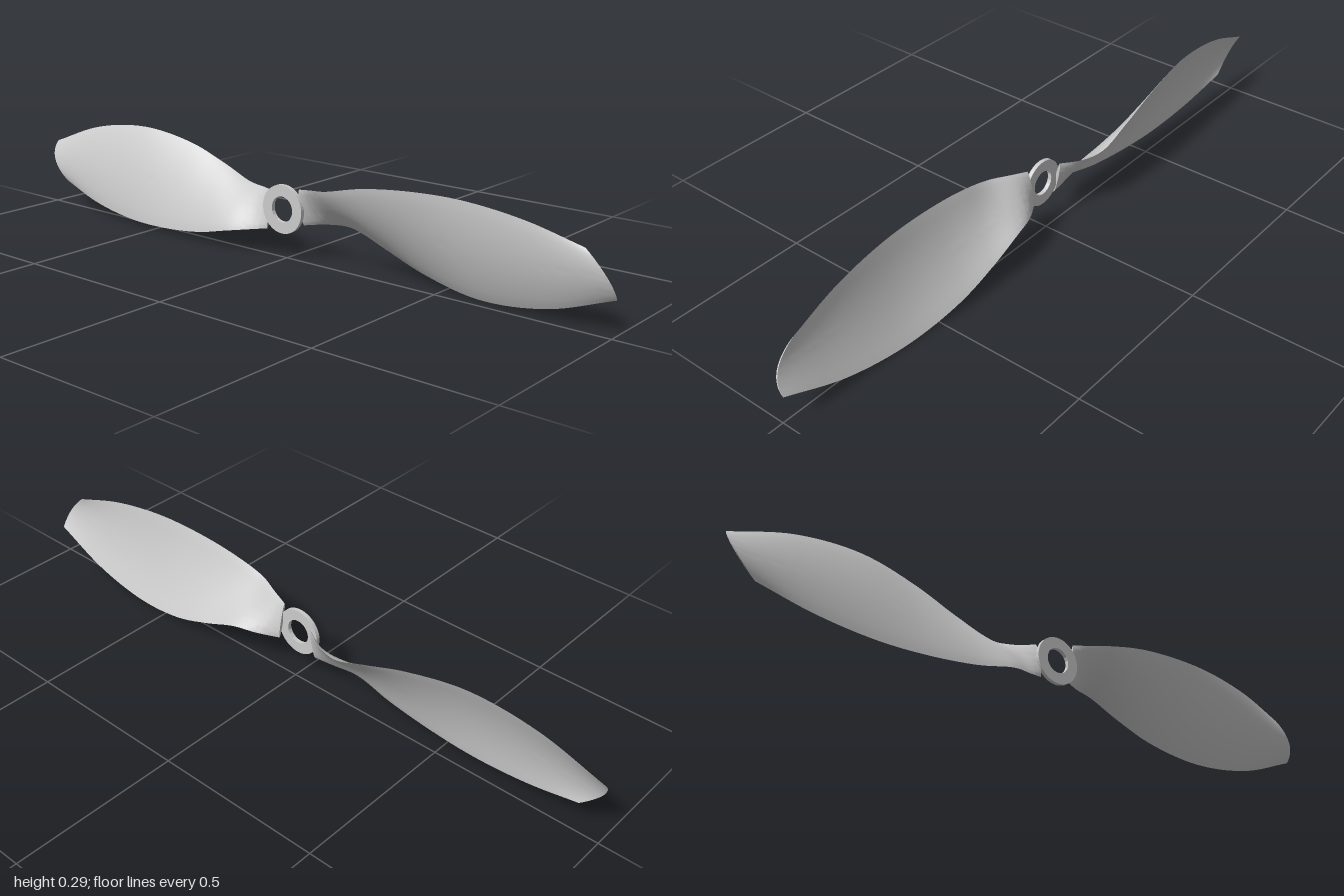
import * as THREE from 'three';
import { toCreasedNormals } from 'three/addons/utils/BufferGeometryUtils.js';

const HUB_Y = 0.148;
const material = new THREE.MeshStandardMaterial({ color: 0xcccccc });

const edgeCurve = (pts) =>
  new THREE.CatmullRomCurve3(pts.map((p) => new THREE.Vector3(...p)), false, 'centripetal');

// Upper (forward) and lower (rearward) edges of one blade, from root to tip
const upperEdge = edgeCurve([
  [0.058, 0.214, 0.018], [0.11, 0.223, 0.034], [0.18, 0.235, 0.056], [0.3, 0.262, 0.054],
  [0.45, 0.278, 0.048], [0.6, 0.279, 0.04], [0.77, 0.257, 0.028], [0.925, 0.215, 0.012],
]);
const lowerEdge = edgeCurve([
  [0.058, 0.107, -0.004], [0.12, 0.113, -0.038], [0.19, 0.111, -0.056], [0.3, 0.071, -0.06],
  [0.43, 0.028, -0.056], [0.61, 0.002, -0.041], [0.81, 0.026, -0.028], [1.0, 0.094, -0.016],
]);

// Thin twisted aerofoil, arched forward: closed loops of points, lofted from root to tip
function bladeGeometry() {
  const stations = 56, chord = 16, ring = chord * 2;
  const position = [], index = [];
  const addRing = (u, thick) => {
    const hi = upperEdge.getPoint(u), lo = lowerEdge.getPoint(u);
    const d = hi.clone().sub(lo);
    const normal = new THREE.Vector3(0, -d.z, d.y).normalize();
    for (let k = 0; k < ring; k++) {
      const front = k <= chord;
      const s = front ? k / chord : 2 - k / chord;
      const arch = 4 * s * (1 - s);
      const half = thick * Math.sqrt(arch);
      const camber = 0.014 * arch * THREE.MathUtils.smoothstep(u, 0.05, 0.4);
      const p = lo.clone().addScaledVector(d, s).addScaledVector(normal, camber + (front ? half : -half));
      p.x += 0.022 * arch * u ** 10; // rounded tip
      position.push(p.x, p.y - HUB_Y, p.z);
    }
  };
  addRing(0, 0); // closes the root
  for (let i = 0; i <= stations; i++) addRing(i / stations, 0.005 - 0.003 * (i / stations));
  addRing(1, 0); // closes the tip
  for (let i = 0; i < stations + 2; i++) {
    for (let k = 0; k < ring; k++) {
      const a = i * ring + k, b = i * ring + ((k + 1) % ring);
      index.push(a, a + ring, b, b, a + ring, b + ring);
    }
  }
  const geometry = new THREE.BufferGeometry();
  geometry.setAttribute('position', new THREE.Float32BufferAttribute(position, 3));
  geometry.setIndex(index);
  return toCreasedNormals(geometry, 0.7);
}

// Flat ring around the shaft hole
function hubGeometry() {
  const shape = new THREE.Shape().absarc(0, 0, 0.07, 0, Math.PI * 2);
  shape.holes.push(new THREE.Path().absarc(0, 0, 0.037, 0, Math.PI * 2, true));
  const geometry = new THREE.ExtrudeGeometry(shape, { depth: 0.012, bevelEnabled: false, curveSegments: 40 });
  geometry.translate(0, 0, 0.01);
  return toCreasedNormals(geometry, 0.6);
}

export function createModel() {
  const propeller = new THREE.Group();
  propeller.name = 'propeller';
  propeller.position.y = HUB_Y;

  const hub = new THREE.Mesh(hubGeometry(), material);
  hub.name = 'hub';
  propeller.add(hub);

  // Two equal blades, half a turn apart
  const geometry = bladeGeometry();
  ['leftBlade', 'rightBlade'].forEach((name, i) => {
    const blade = new THREE.Mesh(geometry, material);
    blade.name = name;
    blade.rotation.z = i * Math.PI;
    propeller.add(blade);
  });

  const model = new THREE.Group();
  model.add(propeller);
  return model;
}
